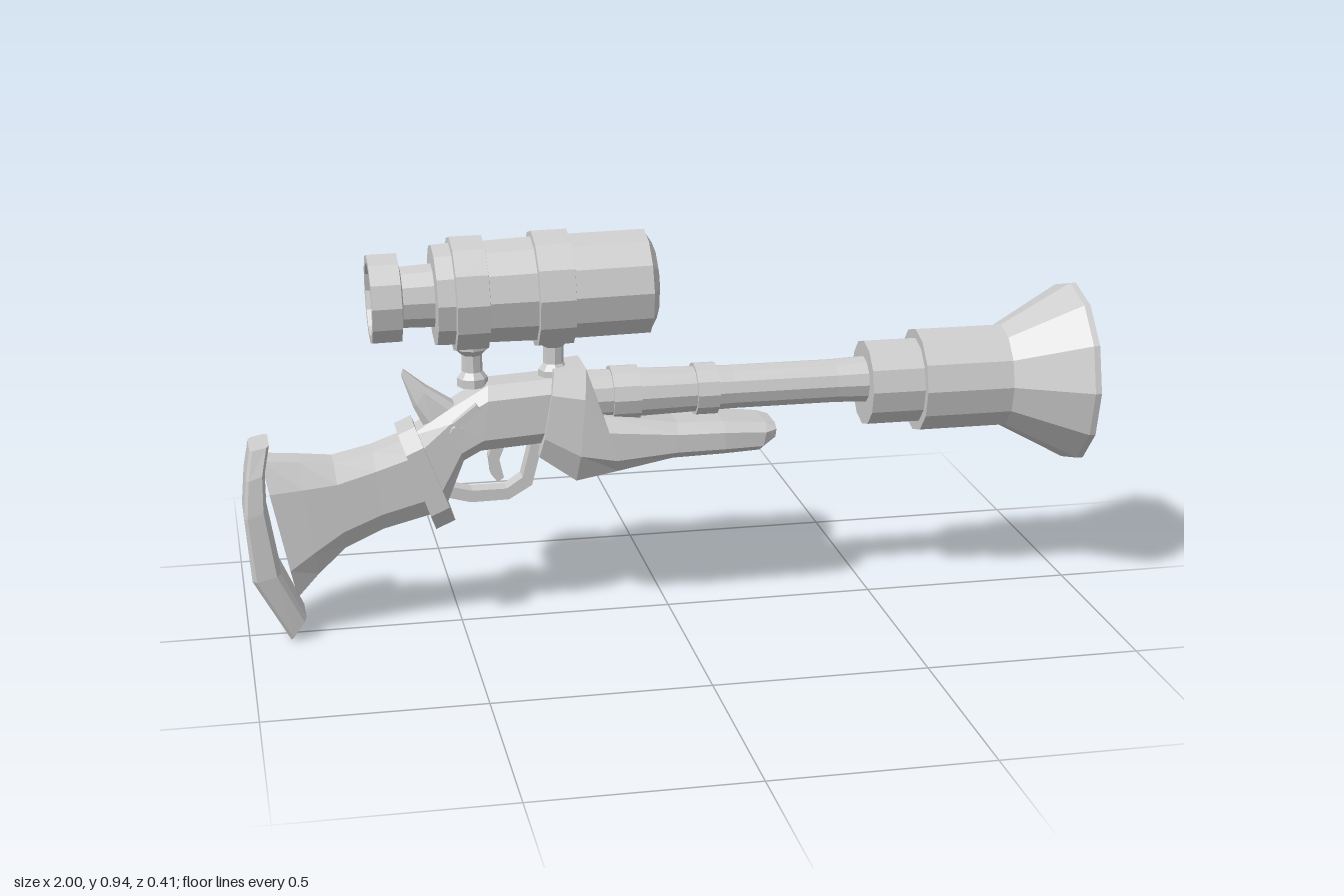
import * as THREE from 'three';

const steel = new THREE.MeshStandardMaterial({ color: 0xcccccc, flatShading: true });
steel.name = 'plain grey';

// Loft of chamfered sections; each is [topX, topY, bottomX, bottomY, halfWidth].
function loft(name, sections, inset = 0.6, chamfer = 0.2) {
  const profile = [[1, inset], [1 - chamfer, 1], [chamfer, 1], [0, inset],
    [0, -inset], [chamfer, -1], [1 - chamfer, -1], [1, -inset]];
  const n = profile.length, pos = [], idx = [];
  for (const [tx, ty, bx, by, w] of sections)
    for (const [u, v] of profile) pos.push(bx + (tx - bx) * u, by + (ty - by) * u, v * w);
  const last = (sections.length - 1) * n;
  for (let s = 0; s < last; s += n)
    for (let j = 0; j < n; j++) {
      const k = (j + 1) % n;
      idx.push(s + j, s + k, s + n + k, s + j, s + n + k, s + n + j);
    }
  for (let j = 1; j < n - 1; j++) idx.push(0, j + 1, j, last, last + j, last + j + 1);
  const g = new THREE.BufferGeometry();
  g.setAttribute('position', new THREE.Float32BufferAttribute(pos, 3));
  g.setIndex(idx);
  g.computeVertexNormals();
  return named(name, g);
}

// Turned part along x from [radius, x] points.
function turned(name, points, y, zScale = 1, sides = 12) {
  const g = new THREE.LatheGeometry(points.map(p => new THREE.Vector2(...p)), sides);
  g.rotateZ(-Math.PI / 2).scale(1, 1, zScale).translate(0, y, 0);
  return named(name, g);
}

// Flat outline in the side plane, centred on z.
function plate(name, points, depth) {
  const shape = new THREE.Shape(points.map(p => new THREE.Vector2(...p)));
  const g = new THREE.ExtrudeGeometry(shape, { depth, bevelEnabled: false });
  return named(name, g.translate(0, 0, -depth / 2));
}

function named(name, geometry) {
  const m = new THREE.Mesh(geometry, steel);
  m.name = name;
  return m;
}

export function createModel() {
  const model = new THREE.Group();
  model.name = 'scopedBlunderbuss';

  // Flared muzzle with hollow bell
  model.add(turned('muzzle', [[0, 0.475], [0.103, 0.475], [0.103, 0.602], [0.125, 0.602],
    [0.125, 0.815], [0.219, 0.985], [0.219, 1], [0.193, 1], [0.115, 0.82], [0, 0.82]], 0.532, 0.94));

  // Barrel and its bands
  model.add(turned('barrel', [[0, -0.27], [0.06, -0.27], [0.058, -0.1], [0.052, 0.15],
    [0.052, 0.4], [0.056, 0.49], [0, 0.49]], 0.541, 1.08));
  for (const [a, b, r] of [[-0.14, -0.075, 0.066], [0.06, 0.112, 0.062]])
    model.add(turned('barrelBand', [[0, a], [r, a], [r, b], [0, b]], 0.541, 1.08));

  // Receiver, wrist and fore-end
  model.add(loft('receiver', [[-0.615, 0.475, -0.54, 0.285, 0.055], [-0.53, 0.53, -0.49, 0.41, 0.058],
    [-0.43, 0.588, -0.45, 0.432, 0.062], [-0.25, 0.598, -0.25, 0.445, 0.062]]));
  model.add(loft('foreEnd', [[-0.278, 0.617, -0.315, 0.41, 0.074], [-0.205, 0.622, -0.23, 0.35, 0.086],
    [-0.165, 0.505, -0.13, 0.368, 0.088], [0.01, 0.478, 0, 0.392, 0.088],
    [0.12, 0.474, 0.12, 0.394, 0.086], [0.225, 0.463, 0.21, 0.396, 0.076],
    [0.25, 0.457, 0.245, 0.42, 0.06]], 0.65, 0.25));

  // Stock with wrist collar and butt plate
  model.add(loft('wristCollar', [[-0.642, 0.485, -0.56, 0.25, 0.078],
    [-0.603, 0.502, -0.515, 0.27, 0.078]], 0.6, 0.18));
  model.add(loft('stock', [[-0.955, 0.437, -0.885, 0.1, 0.058], [-0.87, 0.43, -0.835, 0.155, 0.058],
    [-0.79, 0.422, -0.77, 0.215, 0.056], [-0.7, 0.443, -0.68, 0.255, 0.054],
    [-0.61, 0.475, -0.54, 0.29, 0.055]], 0.6, 0.22));
  model.add(loft('buttPlate', [[-0.905, 0, -0.868, 0.053, 0.054], [-0.988, 0.155, -0.922, 0.17, 0.072],
    [-1, 0.31, -0.948, 0.33, 0.075], [-0.992, 0.4, -0.948, 0.415, 0.07],
    [-0.98, 0.468, -0.935, 0.477, 0.054]], 0.8, 0.15));

  // Trigger and guard
  model.add(plate('triggerGuard', [[-0.54, 0.32], [-0.475, 0.302], [-0.385, 0.303], [-0.33, 0.335],
    [-0.305, 0.43], [-0.33, 0.44], [-0.352, 0.355], [-0.39, 0.33], [-0.47, 0.33], [-0.53, 0.345]], 0.045));
  model.add(plate('trigger', [[-0.395, 0.355], [-0.41, 0.345], [-0.425, 0.365], [-0.43, 0.41],
    [-0.415, 0.45], [-0.385, 0.45], [-0.405, 0.4]], 0.03));

  // Hammer and side lock details
  model.add(loft('hammer', [[-0.621, 0.628, -0.626, 0.612, 0.008], [-0.57, 0.585, -0.602, 0.54, 0.025],
    [-0.5, 0.538, -0.575, 0.485, 0.036], [-0.44, 0.52, -0.5, 0.44, 0.04]]));
  for (const side of [1, -1]) {
    const pin = named('lockPin', new THREE.CylinderGeometry(0.016, 0.016, 0.02, 8));
    pin.rotation.x = Math.PI / 2;
    pin.position.set(-0.508, 0.488, side * 0.062);
    const lever = named('lockLever', new THREE.BoxGeometry(0.07, 0.018, 0.02));
    lever.rotation.z = 0.65;
    lever.position.set(-0.485, 0.525, side * 0.062);
    model.add(pin, lever);
  }

  // Scope with recessed eyepiece, two rings and a domed lens
  const scope = turned('scope', [[0, -0.665], [0.08, -0.665], [0.085, -0.695], [0.104, -0.695],
    [0.104, -0.627], [0.072, -0.622], [0.075, -0.55], [0.118, -0.548], [0.12, -0.508],
    [0.134, -0.506], [0.134, -0.432], [0.12, -0.43], [0.123, -0.32], [0.136, -0.318],
    [0.136, -0.236], [0.124, -0.234], [0.124, -0.055], [0.114, -0.052], [0.09, -0.037],
    [0.055, -0.03], [0, -0.03]], 0, 0.975);
  scope.position.y = 0.809;
  scope.rotation.z = 0.018;
  model.add(scope);

  // Scope mounts
  for (const [x, y] of [[-0.462, 0.58], [-0.272, 0.59]]) {
    const mount = new THREE.LatheGeometry([[0, 0], [0.036, 0], [0.036, 0.02], [0.024, 0.035],
      [0.024, 0.075], [0.04, 0.09], [0.04, 0.11], [0, 0.11]].map(p => new THREE.Vector2(...p)), 8);
    const m = named('scopeMount', mount);
    m.position.set(x, y, 0);
    model.add(m);
  }
  return model;
}
